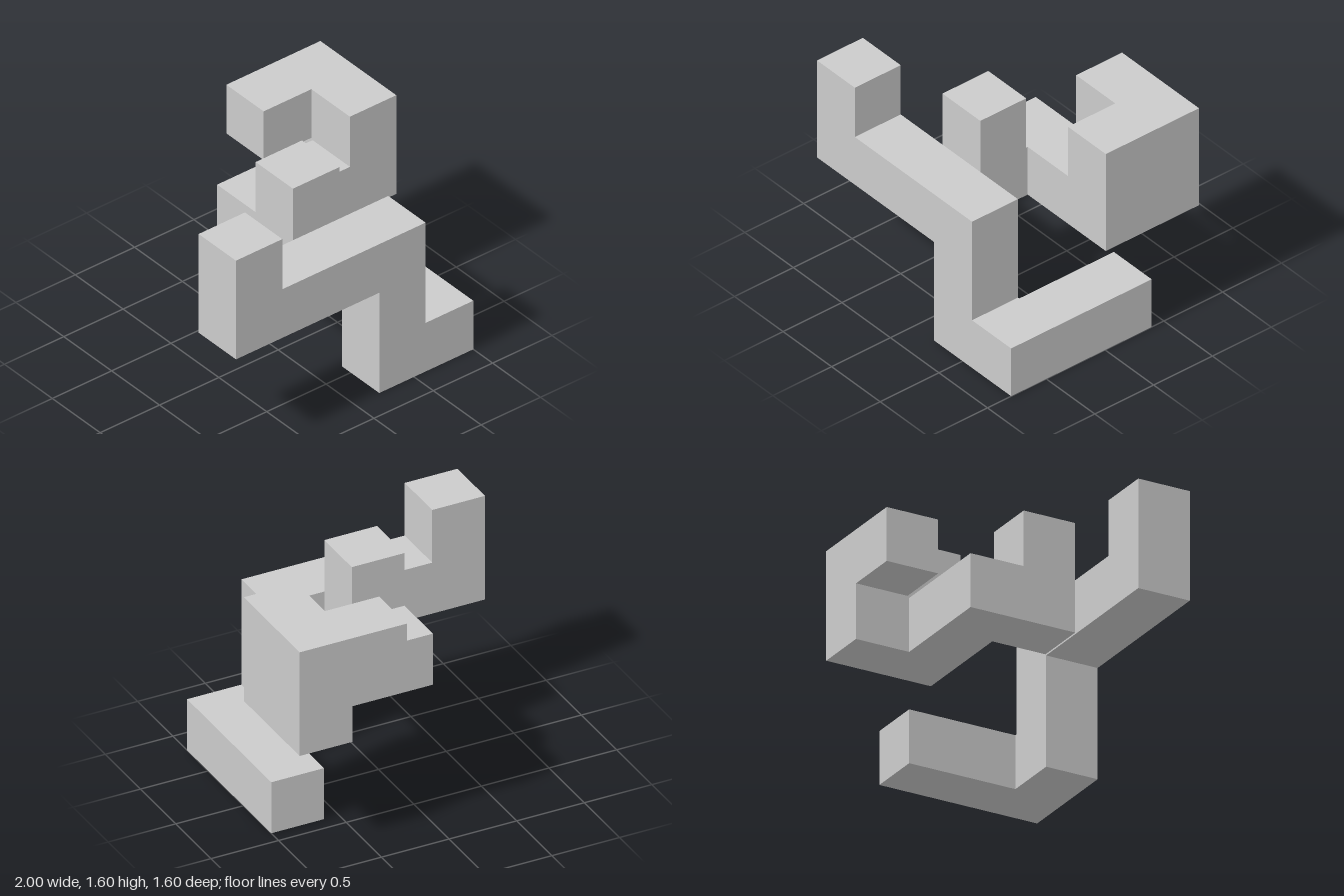
import * as THREE from 'three';

const PITCH = 0.4025;   // spacing of the cube grid
const INSET = 0.00625;  // each piece is shaved by this much so the pieces stay apart
const ORIGIN = [-2.5 * PITCH, -INSET, -2 * PITCH];

// Straight runs of cubes, [from, to] in grid cells (x rightward, y up, z toward the front)
const PIECES = {
  frontPiece: [
    [[0, 2, 3], [0, 3, 3]],  // upright end
    [[0, 2, 3], [3, 2, 3]],  // long crossbar
    [[3, 0, 3], [3, 2, 3]],  // leg
    [[3, 0, 3], [4, 0, 3]],  // foot
    [[4, 0, 1], [4, 0, 3]],  // arm running back
  ],
  rearPiece: [
    [[4, 2, 0], [4, 3, 1]],  // square block
    [[3, 3, 0], [4, 3, 0]],  // top hook
    [[2, 2, 1], [4, 2, 1]],  // crossbar
    [[2, 2, 1], [2, 2, 2]],  // bend to the front
    [[2, 2, 2], [2, 3, 2]],  // upright end
  ],
};

// Fine slots alternate: even = body of a cube, odd = narrow joint between two cubes
const slotStart = (s, axis) =>
  ORIGIN[axis] + Math.ceil(s / 2) * PITCH + (s % 2 ? -INSET : INSET);

function buildPiece(name, runs, material) {
  const hasCube = (c) => runs.some(([a, b]) => c.every((v, i) => v >= a[i] && v <= b[i]));

  // A slot is solid when every cube it touches belongs to the piece
  const isSolid = (slot) => {
    for (let k = 0; k < 8; k++) {
      const cube = slot.map((s, i) => ((k >> i) & 1 ? Math.ceil(s / 2) : Math.floor(s / 2)));
      if (!hasCube(cube)) return false;
    }
    return true;
  };

  const positions = [];
  const normals = [];
  const addFace = (slot, axis, sign) => {
    const u = (axis + 1) % 3;
    const v = (axis + 2) % 3;
    const corners = [[0, 0], [1, 0], [1, 1], [0, 1]].map(([du, dv]) => {
      const p = [0, 0, 0];
      p[axis] = slotStart(slot[axis] + (sign > 0 ? 1 : 0), axis);
      p[u] = slotStart(slot[u] + du, u);
      p[v] = slotStart(slot[v] + dv, v);
      return p;
    });
    const normal = [0, 0, 0];
    normal[axis] = sign;
    const order = sign > 0 ? [0, 1, 2, 0, 2, 3] : [0, 2, 1, 0, 3, 2];
    for (const i of order) {
      positions.push(...corners[i]);
      normals.push(...normal);
    }
  };

  // Only the outer skin of the piece is built
  for (let x = 0; x <= 8; x++)
    for (let y = 0; y <= 6; y++)
      for (let z = 0; z <= 6; z++) {
        const slot = [x, y, z];
        if (!isSolid(slot)) continue;
        for (let axis = 0; axis < 3; axis++)
          for (const sign of [-1, 1]) {
            const next = [...slot];
            next[axis] += sign;
            if (!isSolid(next)) addFace(slot, axis, sign);
          }
      }

  const geometry = new THREE.BufferGeometry();
  geometry.setAttribute('position', new THREE.Float32BufferAttribute(positions, 3));
  geometry.setAttribute('normal', new THREE.Float32BufferAttribute(normals, 3));
  const mesh = new THREE.Mesh(geometry, material);
  mesh.name = name;
  return mesh;
}

export function createModel() {
  const group = new THREE.Group();
  group.name = 'interlockingPuzzle';
  const material = new THREE.MeshStandardMaterial({ color: 0xcccccc, flatShading: true });
  for (const [name, runs] of Object.entries(PIECES)) group.add(buildPiece(name, runs, material));
  return group;
}
